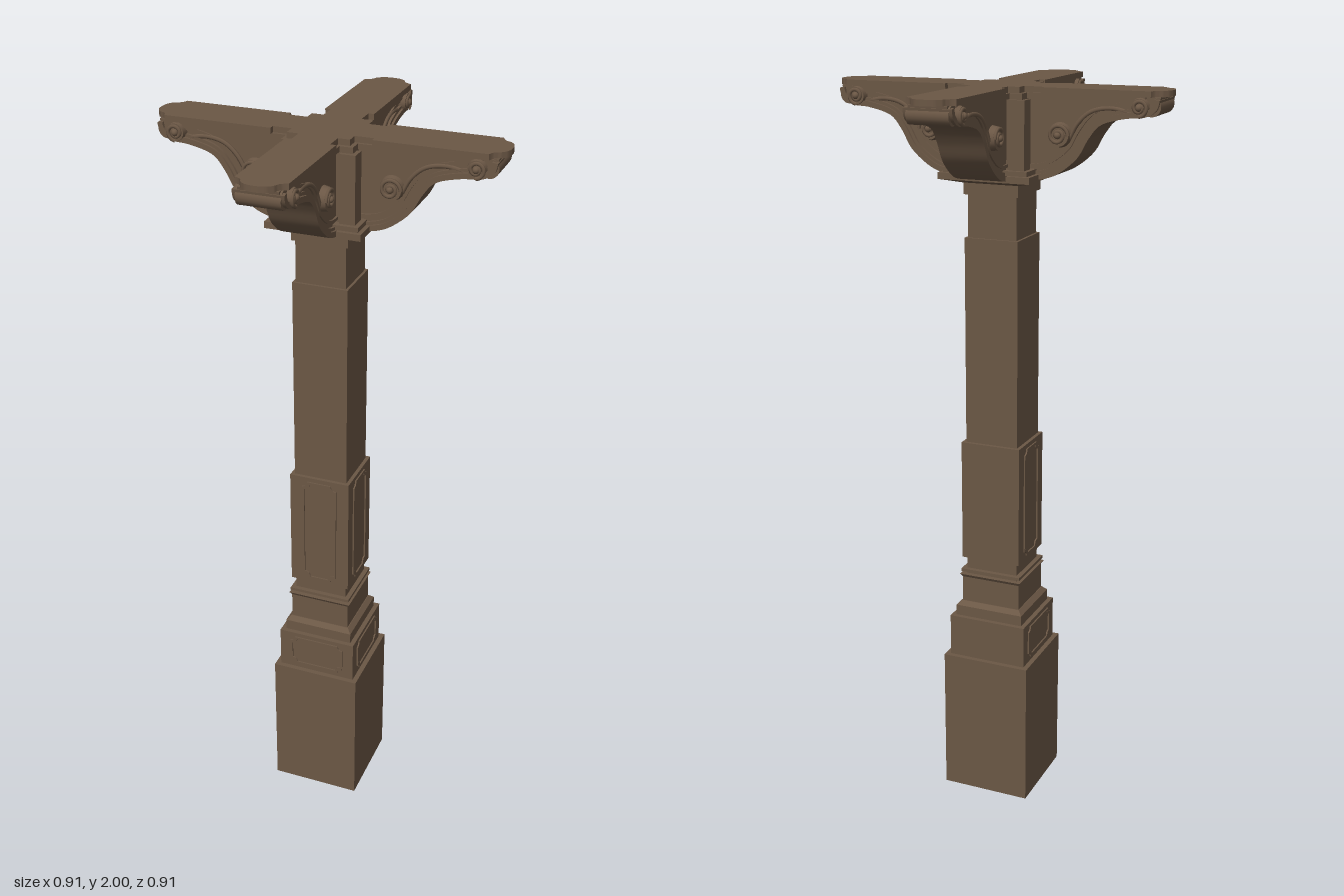
import * as THREE from 'three';
import { toCreasedNormals } from 'three/addons/utils/BufferGeometryUtils.js';

const wood = new THREE.MeshStandardMaterial({ color: 0x6b5745 });
wood.name = 'brown wood';

function add(parent, name, geometry, x = 0, y = 0, z = 0) {
  const mesh = new THREE.Mesh(geometry, wood);
  mesh.name = name;
  mesh.position.set(x, y, z);
  parent.add(mesh);
  return mesh;
}

// Square block from y0 to y1 with its own half widths at bottom and top
function block(parent, name, y0, y1, h0, h1 = h0) {
  const g = new THREE.CylinderGeometry(h1 * Math.SQRT2, h0 * Math.SQRT2, y1 - y0, 4)
    .rotateY(Math.PI / 4).toNonIndexed();
  g.computeVertexNormals();
  return add(parent, name, g, 0, (y0 + y1) / 2, 0);
}

// Extrude centred on z, smooth along curves
function slab(shape, half) {
  const g = new THREE.ExtrudeGeometry(shape, { depth: half * 2, bevelEnabled: false, curveSegments: 8 });
  return toCreasedNormals(g.translate(0, 0, -half), 0.6);
}

// Rectangle with concave corners
function notched(Kind, w, h, r) {
  const s = new Kind();
  s.moveTo(-w + r, -h);
  s.lineTo(w - r, -h);
  s.absarc(w, -h, r, Math.PI, Math.PI / 2, true);
  s.lineTo(w, h - r);
  s.absarc(w, h, r, -Math.PI / 2, -Math.PI, true);
  s.lineTo(-w + r, h);
  s.absarc(-w, h, r, 0, -Math.PI / 2, true);
  s.lineTo(-w, -h + r);
  s.absarc(-w, -h, r, Math.PI / 2, 0, true);
  return s;
}

function panelFrame(w, h, r) {
  const s = notched(THREE.Shape, w, h, r);
  s.holes.push(notched(THREE.Path, w - 0.007, h - 0.007, r));
  return slab(s, 0.003);
}

// Flat spiral in the xy plane
function spiral(radius, turns, start, dir) {
  const pts = [];
  for (let i = 0; i <= 36; i++) {
    const t = i / 36, a = start + dir * t * turns * Math.PI * 2, r = radius * (1 - 0.8 * t);
    pts.push(new THREE.Vector3(Math.cos(a) * r, Math.sin(a) * r, 0));
  }
  return new THREE.TubeGeometry(new THREE.CatmullRomCurve3(pts), 48, 0.005, 6);
}

function makeBracket() {
  const arm = new THREE.Group();
  arm.name = 'bracketArm';

  // S-shaped underside from the post to the tip
  const under = new THREE.SplineCurve([
    [0.08, 1.772], [0.125, 1.772], [0.175, 1.788], [0.228, 1.83], [0.258, 1.88],
    [0.29, 1.915], [0.35, 1.932], [0.4, 1.937], [0.43, 1.955], [0.438, 1.985],
  ].map(p => new THREE.Vector2(...p)));
  const offset = (d, t0, t1) => Array.from({ length: 41 }, (_, i) => {
    const u = t0 + (t1 - t0) * i / 40, p = under.getPoint(u), t = under.getTangent(u);
    return new THREE.Vector2(p.x - t.y * d, p.y + t.x * d);
  });
  const body = new THREE.Shape([...offset(0.002, 0, 1), new THREE.Vector2(0.08, 1.985)]);
  add(arm, 'bracketBody', slab(body, 0.05));

  // Raised mouldings that follow the underside
  for (const [a, b, half, end] of [[0, 0.014, 0.063, 0.97], [0.014, 0.022, 0.057, 0.88], [0.032, 0.04, 0.055, 0.72]]) {
    const band = new THREE.Shape([...offset(a, 0, end), ...offset(b, 0, end).reverse()]);
    add(arm, 'bracketMoulding', slab(band, half));
  }

  // Top board with a shaped tip
  const top = new THREE.Shape();
  top.moveTo(0.081, -0.05);
  top.lineTo(0.13, -0.05);
  top.lineTo(0.13, -0.065);
  top.lineTo(0.415, -0.065);
  top.quadraticCurveTo(0.42, -0.045, 0.436, -0.042);
  top.quadraticCurveTo(0.455, -0.03, 0.455, 0);
  top.quadraticCurveTo(0.455, 0.03, 0.436, 0.042);
  top.quadraticCurveTo(0.42, 0.045, 0.415, 0.065);
  top.lineTo(0.13, 0.065);
  top.lineTo(0.13, 0.05);
  top.lineTo(0.081, 0.05);
  add(arm, 'topBoard', slab(top, 0.0075).rotateX(-Math.PI / 2), 0, 1.9925, 0);
  add(arm, 'topLedge', new THREE.BoxGeometry(0.32, 0.014, 0.116), 0.24, 1.978, 0);

  // Rolled end and the scrolls on both cheeks
  add(arm, 'rolledEnd', new THREE.CylinderGeometry(0.024, 0.024, 0.11, 20).rotateX(Math.PI / 2), 0.415, 1.962, 0);
  for (const side of [1, -1]) {
    for (const [x, y, r, start, dir] of [[0.387, 1.96, 0.026, -Math.PI / 2, 1], [0.178, 1.885, 0.032, 0, 1]]) {
      add(arm, 'scroll', spiral(r - 0.005, 1.6, start, dir), x, y, side * 0.068);
      add(arm, 'scrollDisc', new THREE.CylinderGeometry(r - 0.004, r, 0.02, 20).rotateX(side * Math.PI / 2), x, y, side * 0.057);
      add(arm, 'scrollEye', new THREE.SphereGeometry(0.009, 12, 8), x, y, side * 0.069);
    }
    // Stem linking the two scrolls
    const stem = new THREE.CatmullRomCurve3([
      [0.203, 1.876], [0.225, 1.915], [0.26, 1.945], [0.31, 1.955], [0.365, 1.945],
    ].map(([x, y]) => new THREE.Vector3(x, y, side * 0.052)));
    add(arm, 'scrollStem', new THREE.TubeGeometry(stem, 24, 0.006, 6));
  }
  return arm;
}

export function createModel() {
  const model = new THREE.Group();
  model.name = 'bracketedPost';

  // Post, from the ground up: name, bottom, top, half widths
  const post = new THREE.Group();
  post.name = 'post';
  model.add(post);
  for (const part of [
    ['plinth', 0, 0.415, 0.126],
    ['plinthPanelBlock', 0.415, 0.535, 0.112],
    ['plinthStep', 0.535, 0.565, 0.099],
    ['plinthChamfer', 0.565, 0.577, 0.099, 0.087],
    ['lowerNeck', 0.577, 0.65, 0.085],
    ['lowerCollar', 0.65, 0.659, 0.085, 0.091],
    ['lowerGroove', 0.659, 0.667, 0.076],
    ['upperCollar', 0.667, 0.675, 0.088],
    ['upperNeck', 0.675, 0.71, 0.075],
    ['panelBlock', 0.71, 1.05, 0.085],
    ['shaft', 1.05, 1.612, 0.075],
    ['topNeck', 1.612, 1.725, 0.068],
    ['capCollar', 1.725, 1.755, 0.076],
    ['capFlare', 1.755, 1.768, 0.076, 0.125],
    ['capPlate', 1.768, 1.785, 0.126],
    ['capStep', 1.785, 1.797, 0.115],
    ['capCore', 1.797, 2, 0.081],
  ]) block(post, ...part);

  // Stepped corner ribs between the arms
  for (const sx of [1, -1]) for (const sz of [1, -1]) {
    for (const [half, topY] of [[0.092, 1.985], [0.103, 1.97]]) {
      const w = half - 0.05 - (half > 0.1 ? 0.012 : 0);
      const c = half - w / 2;
      add(post, 'cornerRib', new THREE.BoxGeometry(w, topY - 1.79, w), sx * c, (topY + 1.79) / 2, sz * c);
    }
  }

  // Framed panels on the front and both sides
  const tall = panelFrame(0.05, 0.158, 0.016);
  const wide = panelFrame(0.08, 0.047, 0.014);
  for (const k of [-1, 0, 1]) {
    const face = new THREE.Group();
    face.name = 'panels';
    face.rotation.y = k * Math.PI / 2;
    add(face, 'tallPanelFrame', tall, 0, 0.88, 0.086);
    add(face, 'widePanelFrame', wide, 0, 0.476, 0.113);
    post.add(face);
  }

  // Four arms
  const bracket = makeBracket();
  for (let k = 0; k < 4; k++) {
    const arm = bracket.clone();
    arm.rotation.y = k * Math.PI / 2;
    model.add(arm);
  }
  return model;
}
